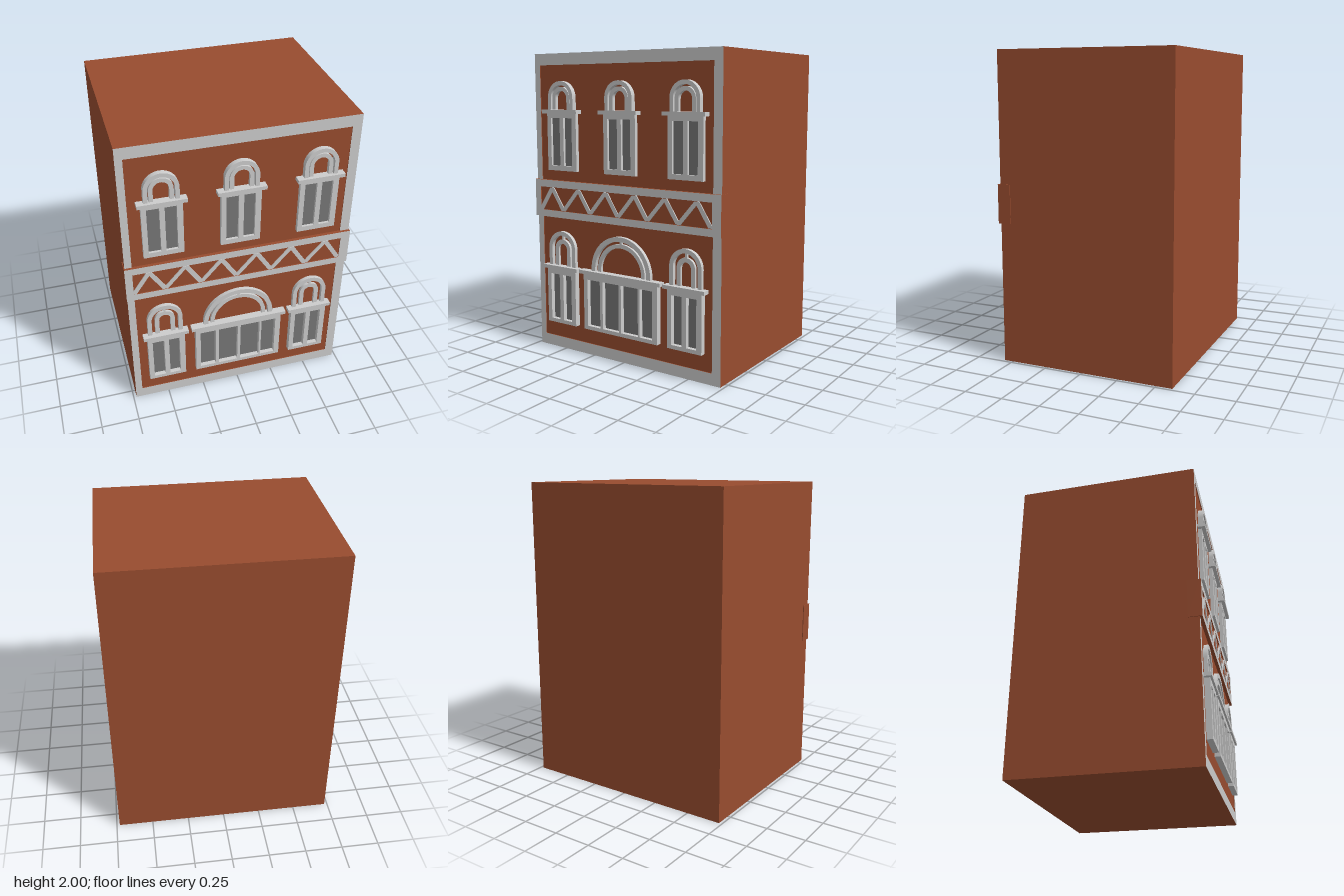
import * as THREE from 'three';

export function createModel() {
  const model = new THREE.Group();
  model.name = 'building';
  const mat = (name, color) => {
    const m = new THREE.MeshStandardMaterial({ color });
    m.name = name;
    return m;
  };
  const brick = mat('brick', 0x984c2f);
  const trim = mat('lightStone', 0xcccccc);
  const glass = mat('darkGlass', 0x767676);

  const add = (parent, name, geometry, material) => {
    const mesh = new THREE.Mesh(geometry, material);
    mesh.name = name;
    parent.add(mesh);
    return mesh;
  };
  // Box given by its extents on each axis
  const box = (parent, name, material, x0, x1, y0, y1, z0, z1) => {
    const mesh = add(parent, name, new THREE.BoxGeometry(x1 - x0, y1 - y0, z1 - z0), material);
    mesh.position.set((x0 + x1) / 2, (y0 + y1) / 2, (z0 + z1) / 2);
    return mesh;
  };
  const rect = (Type, x0, x1, y0, y1) => new Type([
    [x0, y0], [x1, y0], [x1, y1], [x0, y1],
  ].map(([x, y]) => new THREE.Vector2(x, y)));
  const extrude = (parent, name, shape, z0, z1, material = trim) => {
    const g = new THREE.ExtrudeGeometry(shape, { depth: z1 - z0, bevelEnabled: false, curveSegments: 20 });
    g.translate(0, 0, z0);
    return add(parent, name, g, material);
  };

  // Main block with a pale border on the front
  box(model, 'walls', brick, -0.73, 0.73, 0, 2, -0.605, 0.555);
  const border = rect(THREE.Shape, -0.73, 0.73, 0, 2);
  border.holes.push(rect(THREE.Path, -0.685, 0.67, 0.075, 1.925));
  // Front face pale, edges brick
  extrude(model, 'facadeBorder', border, 0.555, 0.56, [trim, brick]);

  // Projecting belt between the floors
  const belt = new THREE.Group();
  belt.name = 'belt';
  model.add(belt);
  box(belt, 'beltCore', brick, -0.735, 0.735, 0.912, 1.163, 0.49, 0.57);
  const beltFrame = rect(THREE.Shape, -0.735, 0.735, 0.912, 1.163);
  beltFrame.holes.push(rect(THREE.Path, -0.688, 0.673, 0.958, 1.115));
  extrude(belt, 'beltFrame', beltFrame, 0.57, 0.577, [trim, brick]);
  // Zigzag bars, alternating low and high points
  const zigzag = [[-0.688, 0.965]];
  for (let i = 0; i < 6; i++) {
    zigzag.push([-0.585 + 0.2305 * i, 1.105], [-0.487 + 0.2305 * i, 0.968]);
  }
  for (let i = 0; i < zigzag.length - 1; i++) {
    const [xa, ya] = zigzag[i];
    const [xb, yb] = zigzag[i + 1];
    const h = 0.017;
    const bar = new THREE.Shape();
    const s = yb > ya ? 1 : -1;
    // Parallelogram with level ends
    bar.moveTo(xa - h, ya - s * 0.007);
    bar.lineTo(xa + h, ya - s * 0.007);
    bar.lineTo(xb + h, yb + s * 0.007);
    bar.lineTo(xb - h, yb + s * 0.007);
    extrude(belt, 'zigzagBar', bar, 0.57, 0.5765);
  }

  // Upright arch band with straight legs
  const arch = (parent, name, halfWidth, thickness, y0, top, z1) => {
    const spring = top - halfWidth;
    const r = halfWidth - thickness;
    const s = new THREE.Shape();
    s.moveTo(halfWidth, y0);
    s.lineTo(halfWidth, spring);
    s.absarc(0, spring, halfWidth, 0, Math.PI, false);
    s.lineTo(-halfWidth, y0);
    s.lineTo(-r, y0);
    s.lineTo(-r, spring);
    s.absarc(0, spring, r, Math.PI, 0, true);
    s.lineTo(r, y0);
    extrude(parent, name, s, 0.55, z1);
  };

  // Window: surround with openings, recessed panes, lintel and two arches
  const makeWindow = (name, x, o) => {
    const w = new THREE.Group();
    w.name = name;
    w.position.x = x;
    model.add(w);
    const frame = rect(THREE.Shape, -o.half, o.half, o.y0, o.y1);
    o.panes.forEach(([a, b]) => {
      frame.holes.push(rect(THREE.Path, a, b, o.paneY[0], o.paneY[1]));
      box(w, 'pane', glass, a - 0.003, b + 0.003, o.paneY[0] - 0.003, o.paneY[1] + 0.003, 0.555, 0.563);
    });
    extrude(w, 'windowFrame', frame, 0.55, o.frameZ);
    box(w, 'lintel', trim, -o.lintel, o.lintel, o.y1, o.y1 + 0.024, 0.55, 0.605);
    const base = o.y1 + 0.024;
    arch(w, 'outerArch', o.outer[0], o.outer[1], base, o.outer[2], o.archZ);
    arch(w, 'innerArch', o.inner[0], o.inner[1], base, o.inner[2], o.archZ - 0.007);
    if (o.key) {
      box(w, 'keystone', trim, -0.008, 0.008, o.inner[2] - 0.01, o.outer[2] - 0.01, 0.55, o.archZ - 0.009);
    }
  };

  const pair = [[-0.093, -0.016], [0.016, 0.088]];
  const upper = {
    half: 0.125, y0: 1.232, y1: 1.61, frameZ: 0.58, lintel: 0.15,
    panes: pair, paneY: [1.265, 1.58],
    outer: [0.107, 0.026, 1.82], inner: [0.074, 0.026, 1.783], archZ: 0.588,
  };
  const lower = {
    half: 0.125, y0: 0.185, y1: 0.561, frameZ: 0.592, lintel: 0.15,
    panes: pair, paneY: [0.21, 0.525],
    outer: [0.116, 0.028, 0.82], inner: [0.066, 0.029, 0.765], archZ: 0.58, key: true,
  };
  const wide = {
    half: 0.297, y0: 0.185, y1: 0.563, frameZ: 0.592, lintel: 0.325,
    panes: [[-0.265, -0.16], [-0.138, -0.006], [0.014, 0.148], [0.162, 0.26]],
    paneY: [0.21, 0.525],
    outer: [0.238, 0.031, 0.836], inner: [0.19, 0.027, 0.789], archZ: 0.58, key: true,
  };
  [-0.485, -0.005, 0.488].forEach((x) => makeWindow('upperWindow', x, upper));
  [-0.503, 0.49].forEach((x) => makeWindow('lowerWindow', x, lower));
  makeWindow('wideWindow', -0.007, wide);

  return model;
}
